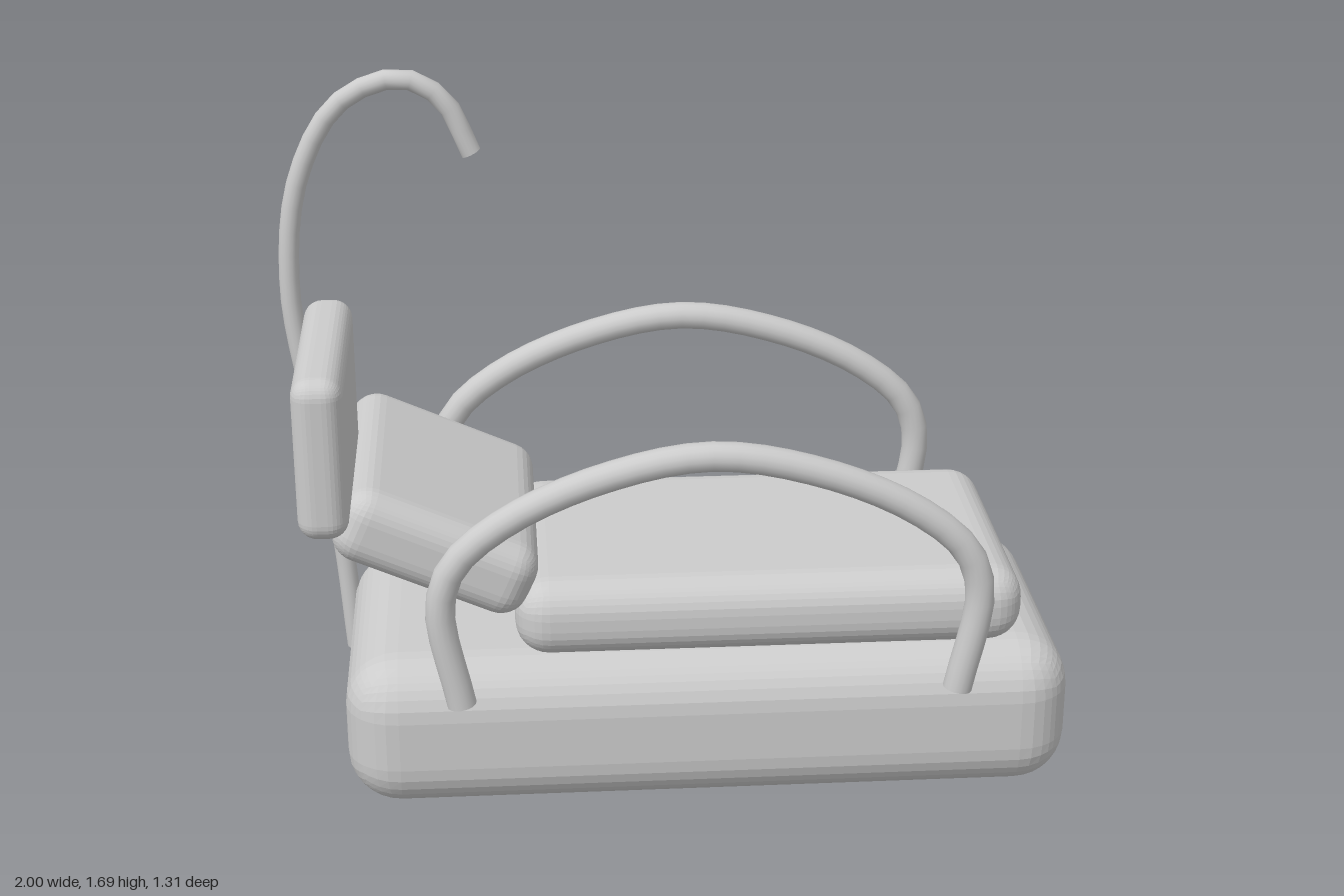
import * as THREE from 'three';
import { RoundedBoxGeometry } from 'three/addons/geometries/RoundedBoxGeometry.js';

const flat = new THREE.MeshStandardMaterial({ color: 0xcccccc, flatShading: true });
const smooth = new THREE.MeshStandardMaterial({ color: 0xcccccc });

// Rounded block from its size, centre and edge radius
function block(name, size, centre, radius) {
  const mesh = new THREE.Mesh(new RoundedBoxGeometry(...size, 4, radius), flat);
  mesh.name = name;
  mesh.position.set(...centre);
  return mesh;
}

// Bent round bar in a plane of constant z, closed at both ends
function bar(name, points, z, radius, segments) {
  const group = new THREE.Group();
  group.name = name;
  const curve = new THREE.CatmullRomCurve3(points.map(([x, y]) => new THREE.Vector3(x, y, z)));
  const tube = new THREE.Mesh(new THREE.TubeGeometry(curve, segments, radius, 16), smooth);
  tube.name = name + 'Tube';
  group.add(tube);
  for (const t of [0, 1]) {
    const cap = new THREE.Mesh(new THREE.CircleGeometry(radius, 16), smooth);
    cap.name = name + 'Cap';
    const outward = curve.getTangentAt(t).multiplyScalar(t ? 1 : -1);
    cap.position.copy(curve.getPointAt(t));
    cap.quaternion.setFromUnitVectors(new THREE.Vector3(0, 0, 1), outward);
    group.add(cap);
  }
  return group;
}

export function createModel() {
  const model = new THREE.Group();
  model.name = 'reclinerBed';

  // Base, mattress and tilted backrest
  model.add(block('base', [1.83, 0.4, 0.84], [0.085, 0.2, -0.13], 0.135));
  model.add(block('mattress', [1.27, 0.2, 0.75], [0.235, 0.5, -0.125], 0.085));
  const backrest = block('backrest', [0.51, 0.195, 0.75], [-0.59, 0.69, -0.125], 0.07);
  backrest.rotation.z = -0.42;
  model.add(backrest);

  // Floating screen panel
  model.add(block('screen', [0.115, 0.385, 0.595], [-0.825, 1.12, 0.355], 0.045));

  // Arched side rails, mirrored about their middle
  const middle = 0.073;
  const half = [[-0.535, 0.36], [-0.58, 0.62], [-0.545, 0.73], [-0.42, 0.84], [-0.19, 0.945]];
  const arch = [...half, [middle, 0.995], ...half.map(([x, y]) => [2 * middle - x, y]).reverse()];
  model.add(bar('leftRail', arch, 0.365, 0.036, 36));
  model.add(bar('rightRail', arch, -0.622, 0.036, 36));

  // Tall pole with a hooked top
  const hook = [[-0.845, 0.03], [-0.872, 0.38], [-0.93, 0.75], [-0.973, 1.1], [-0.935, 1.4],
    [-0.82, 1.6], [-0.66, 1.662], [-0.55, 1.605], [-0.48, 1.46]];
  model.add(bar('pole', hook, -0.627, 0.027, 32));

  return model;
}
